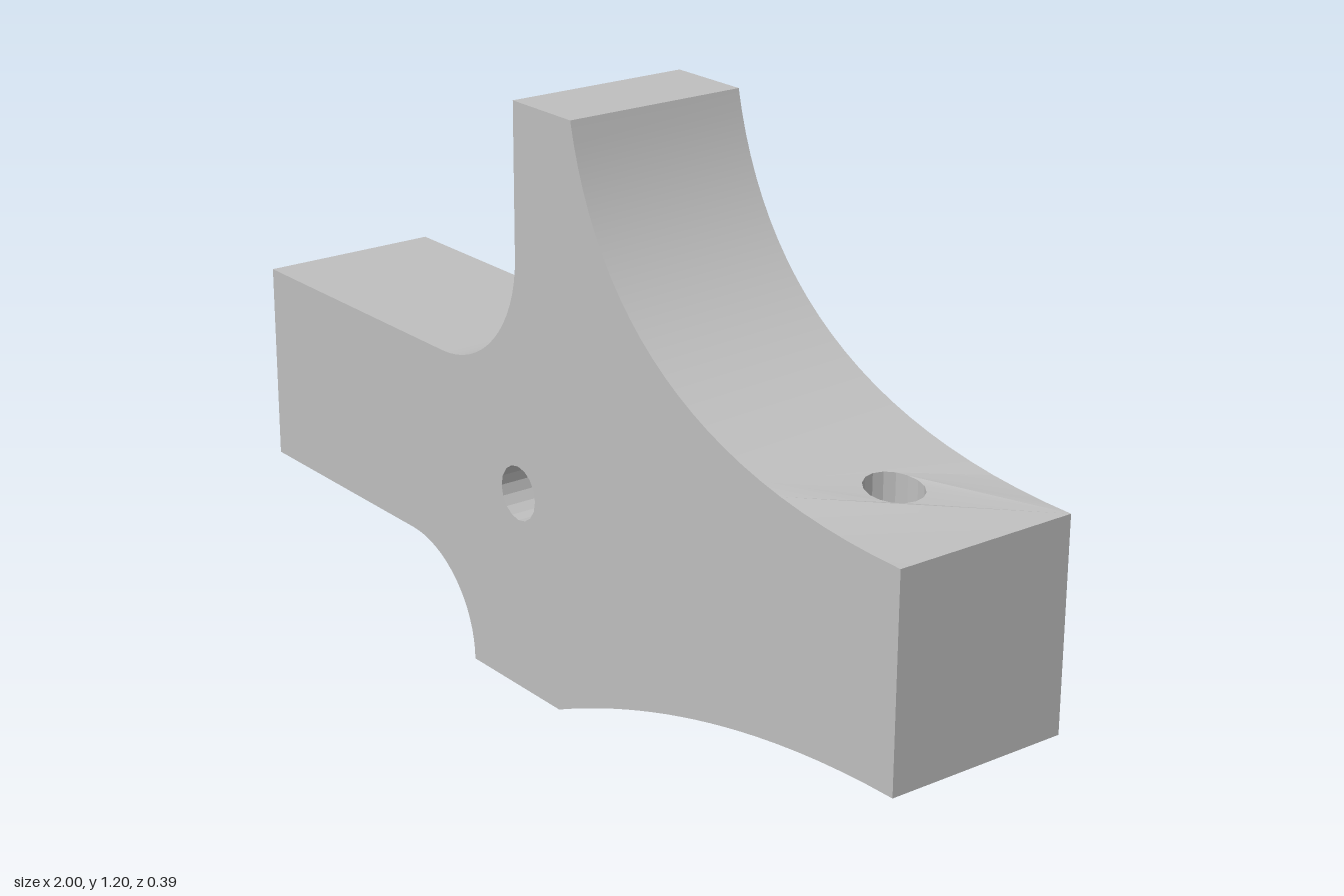
import * as THREE from 'three';
import { mergeGeometries, toCreasedNormals } from 'three/addons/utils/BufferGeometryUtils.js';

const HALF = 0.195; // half thickness in z
const V = (x, y) => new THREE.Vector2(x, y);

// Sweeping upper edge of the right arm
const top = new THREE.CubicBezierCurve(V(0.09, 1.195), V(0.165, 0.85), V(0.46, 0.635), V(1, 0.635)).getPoints(24);
const SEAM = 18;
const seamX = top[SEAM].x;
const topY = (x) => {
  let i = 1;
  while (i < 24 && top[i].x < x) i++;
  const a = top[i - 1], b = top[i];
  return a.y + (b.y - a.y) * (x - a.x) / (b.x - a.x);
};
// Shallow lower edge of the right arm
const bottomY = (x) => 0.215 - 0.215 * ((1 - x) / 0.96) ** 2;

function addHole(shape, x, y, r) {
  const pts = [];
  for (let i = 0; i < 16; i++) {
    const a = -i / 16 * Math.PI * 2;
    pts.push(V(x + r * Math.cos(a), y + r * Math.sin(a)));
  }
  shape.holes.push(new THREE.Path(pts));
}

// Quarter ellipse points from angle a0 to a1
function arc(cx, cy, rx, ry, a0, a1, n = 16) {
  return Array.from({ length: n + 1 }, (_, i) => {
    const a = a0 + (a1 - a0) * i / n;
    return V(cx + rx * Math.cos(a), cy + ry * Math.sin(a));
  });
}

// Drop the hidden faces where the two pieces join
function openSeam(geo) {
  const p = geo.attributes.position, out = [];
  for (let i = 0; i < p.count; i += 3) {
    const onSeam = [0, 1, 2].every((k) => Math.abs(p.getX(i + k) - seamX) < 1e-5);
    if (onSeam) continue;
    for (let k = 0; k < 3; k++) out.push(p.getX(i + k), p.getY(i + k), p.getZ(i + k));
  }
  const g = new THREE.BufferGeometry();
  g.setAttribute('position', new THREE.Float32BufferAttribute(out, 3));
  return g;
}

// Left arm, upright and foot, extruded front to back with the cross hole
function hubGeometry() {
  const lower = Array.from({ length: 15 }, (_, i) => {
    const x = 0.04 + (seamX - 0.04) * i / 14;
    return V(x, bottomY(x));
  });
  const shape = new THREE.Shape([
    V(-1, 0.215),
    ...arc(-0.47, 0, 0.22, 0.215, Math.PI / 2, 0),
    ...lower,
    ...top.slice(0, SEAM + 1).reverse(),
    V(-0.09, 1.195),
    ...arc(-0.345, 0.89, 0.255, 0.255, 0, -Math.PI / 2),
    V(-1, 0.635),
  ]);
  addHole(shape, -0.09, 0.413, 0.056);
  const geo = new THREE.ExtrudeGeometry(shape, { depth: HALF * 2, bevelEnabled: false });
  geo.translate(0, 0, -HALF);
  return openSeam(geo);
}

// Right arm end, extruded upward with the vertical hole, then bent to the curves
function armGeometry() {
  const xs = top.slice(SEAM).map((p) => p.x);
  const shape = new THREE.Shape([
    ...xs.map((x) => V(x, -HALF)),
    ...xs.slice().reverse().map((x) => V(x, HALF)),
  ]);
  addHole(shape, 0.76, 0.006, 0.056);
  const geo = new THREE.ExtrudeGeometry(shape, { depth: 1, bevelEnabled: false });
  geo.rotateX(-Math.PI / 2);
  const p = geo.attributes.position;
  for (let i = 0; i < p.count; i++) {
    const x = p.getX(i);
    p.setY(i, THREE.MathUtils.lerp(bottomY(x), topY(x), p.getY(i)));
  }
  return openSeam(geo);
}

export function createModel() {
  const group = new THREE.Group();
  group.name = 'bracket';
  const grey = new THREE.MeshStandardMaterial({ color: 0xbfbfbf });
  grey.name = 'grey';
  const geo = toCreasedNormals(mergeGeometries([hubGeometry(), armGeometry()]), 0.3);
  const body = new THREE.Mesh(geo, grey);
  body.name = 'bracketBody';
  group.add(body);
  return group;
}
